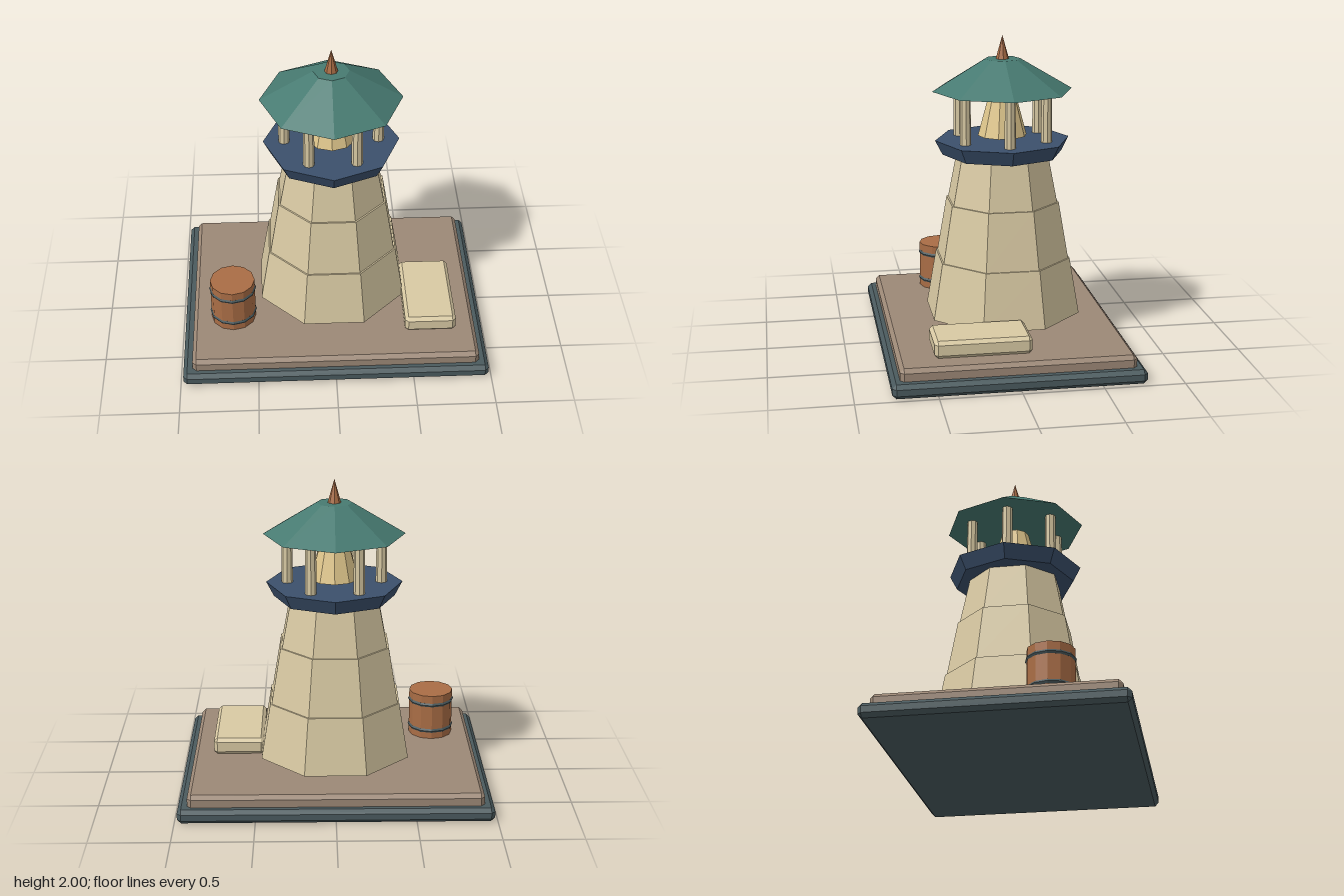
import * as THREE from 'three';
import { ConvexGeometry } from 'three/addons/geometries/ConvexGeometry.js';

function material(name, color) {
  const m = new THREE.MeshStandardMaterial({ color, flatShading: true });
  m.name = name;
  return m;
}

// Box with every edge and corner chamfered by c
function chamferBox(w, h, d, c) {
  const points = [];
  for (const x of [-1, 1]) for (const y of [-1, 1]) for (const z of [-1, 1]) {
    for (let axis = 0; axis < 3; axis++) {
      const inset = [c, c, c];
      inset[axis] = 0;
      points.push(new THREE.Vector3(
        x * (w / 2 - inset[0]), y * (h / 2 - inset[1]), z * (d / 2 - inset[2])));
    }
  }
  return new ConvexGeometry(points);
}

export function createModel() {
  const slate = material('slate', 0x4a5a5e);
  const earth = material('earth', 0x9c8876);
  const stone = material('stone', 0xd8c9a3);
  const navy = material('navy', 0x3b506c);
  const green = material('roof green', 0x477a71);
  const brass = material('brass', 0xdfc68c);
  const copper = material('copper brown', 0xa96d45);

  const model = new THREE.Group();
  model.name = 'bellTower';

  function add(parent, name, geometry, mat, x = 0, y = 0, z = 0) {
    const mesh = new THREE.Mesh(geometry, mat);
    mesh.name = name;
    mesh.position.set(x, y, z);
    parent.add(mesh);
    return mesh;
  }

  // Tapered prism standing between heights y0 and y1
  function prism(parent, name, mat, rBottom, rTop, y0, y1, sides = 8, x = 0, z = 0) {
    const geometry = new THREE.CylinderGeometry(rTop, rBottom, y1 - y0, sides);
    return add(parent, name, geometry, mat, x, (y0 + y1) / 2, z);
  }

  // Stepped plinth
  add(model, 'basePlate', chamferBox(1.965, 0.09, 1.55, 0.025), slate, 0, 0.045, 0);
  add(model, 'upperPlate', chamferBox(1.845, 0.1, 1.445, 0.025), earth, 0, 0.115, 0);

  // Tower, set slightly back on the plinth
  const tower = new THREE.Group();
  tower.name = 'tower';
  tower.position.z = -0.04;
  model.add(tower);

  // Three stone tiers, flat face forward, each with a small ledge on top
  const tiers = [
    [0.512, 0.447, 0.2, 0.567],
    [0.437, 0.372, 0.567, 0.935],
    [0.361, 0.296, 0.935, 1.26],
  ];
  tiers.forEach(([r0, r1, y0, y1], i) => {
    prism(tower, `towerTier${i + 1}`, stone, r0, r1, y0, y1).rotation.y = Math.PI / 8;
  });

  // Belfry deck, posts, bell and roof
  prism(tower, 'deck', navy, 0.385, 0.432, 1.243, 1.335);
  for (let i = 0; i < 6; i++) {
    const a = (i * Math.PI) / 3;
    prism(tower, `post${i + 1}`, stone, 0.036, 0.033, 1.33, 1.655, 8,
      0.298 * Math.cos(a), 0.298 * Math.sin(a));
  }
  prism(tower, 'bell', brass, 0.157, 0.09, 1.36, 1.607, 10);
  prism(tower, 'roof', green, 0.448, 0.113, 1.65, 1.85);
  add(tower, 'finial', new THREE.ConeGeometry(0.042, 0.15, 8), copper, 0, 1.925, 0);

  // Banded barrel
  const barrel = new THREE.Group();
  barrel.name = 'barrel';
  barrel.position.set(-0.658, 0, 0.285);
  model.add(barrel);
  prism(barrel, 'barrelBody', copper, 0.145, 0.145, 0.165, 0.47, 12);
  for (const y of [0.22, 0.405]) {
    const hoop = new THREE.TorusGeometry(0.138, 0.0145, 6, 12).rotateX(Math.PI / 2);
    add(barrel, 'barrelHoop', hoop, slate, 0, y, 0);
  }

  // Stone slab beside the tower
  add(model, 'slab', chamferBox(0.33, 0.11, 0.6, 0.022), stone, 0.625, 0.22, 0.2);

  return model;
}
